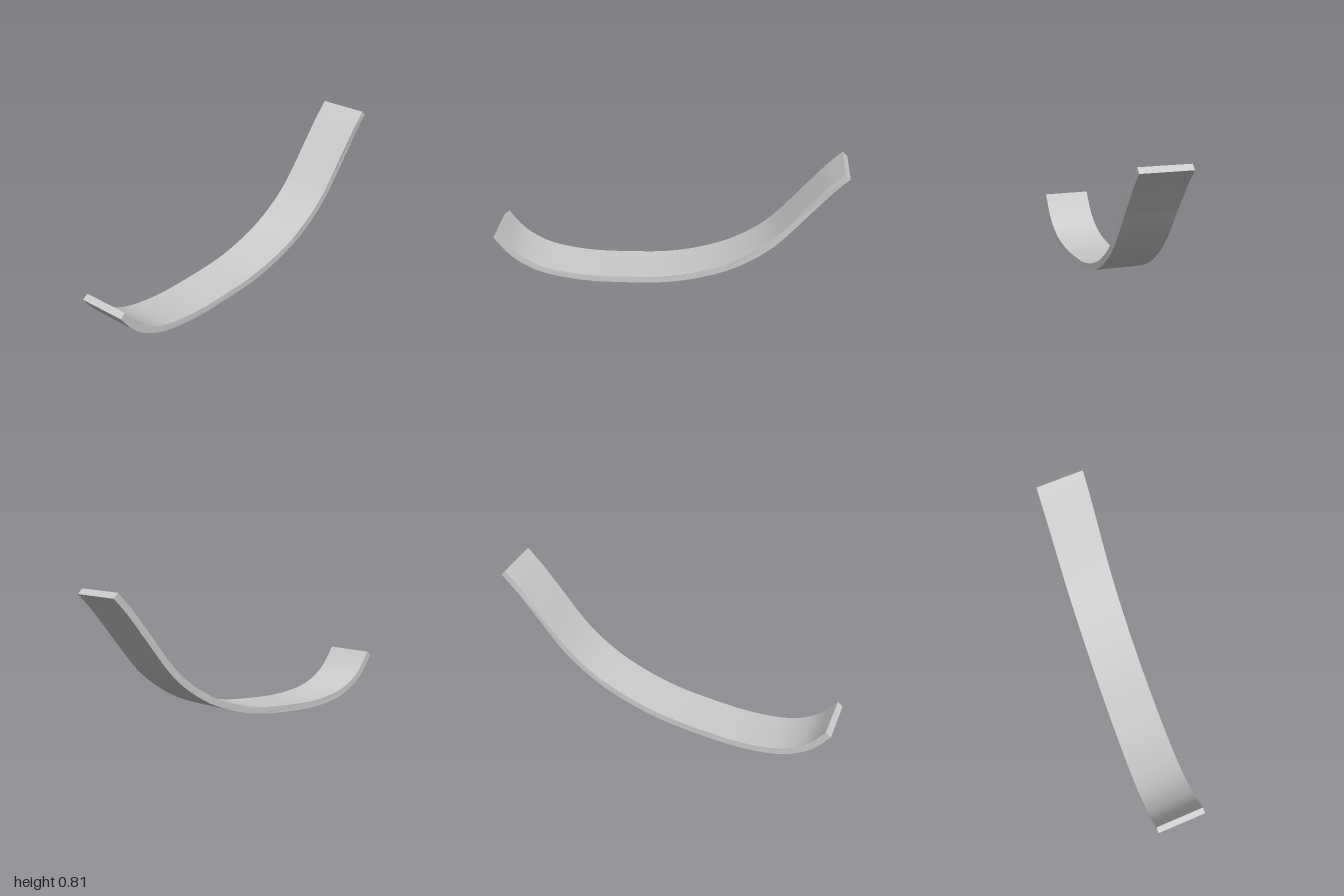
import * as THREE from 'three';
import { toCreasedNormals } from 'three/addons/utils/BufferGeometryUtils.js';

const WIDTH = 0.283;
const HALF_THICKNESS = 0.0195;
const STEPS = 48;

// Centre line of the strip in side view, as (z, y)
const profile = new THREE.SplineCurve([
  [0.985, 0.264], [0.9, 0.157], [0.8, 0.088], [0.7, 0.05], [0.58, 0.03],
  [0.42, 0.022], [0.2, 0.035], [0, 0.058], [-0.2, 0.11], [-0.4, 0.197],
  [-0.6, 0.345], [-0.8, 0.585], [-0.9, 0.708], [-0.985, 0.797],
].map(([z, y]) => new THREE.Vector2(z, y)));

// Sideways drift of the strip, a gentle S from front to back
function drift(z) {
  return -0.049 * (0.6 * Math.sin(z * Math.PI / 2) + 0.4 * z);
}

export function createModel() {
  // Offset the centre line to both sides for a closed side outline
  const upper = [], lower = [];
  for (let i = 0; i <= STEPS; i++) {
    const p = profile.getPointAt(i / STEPS);
    const t = profile.getTangentAt(i / STEPS);
    const n = new THREE.Vector2(t.y, -t.x).multiplyScalar(HALF_THICKNESS);
    upper.push(p.clone().add(n));
    lower.push(p.clone().sub(n));
  }
  const outline = new THREE.Shape([...upper, ...lower.reverse()]);

  // Extrude across x, then shift each section sideways
  let geometry = new THREE.ExtrudeGeometry(outline, { depth: WIDTH, bevelEnabled: false });
  geometry.translate(0, 0, -WIDTH / 2);
  geometry.rotateY(-Math.PI / 2);
  const pos = geometry.attributes.position;
  for (let i = 0; i < pos.count; i++) {
    pos.setX(i, pos.getX(i) + drift(pos.getZ(i)));
  }
  geometry.computeBoundingBox();
  geometry.translate(0, -geometry.boundingBox.min.y, 0);
  geometry = toCreasedNormals(geometry, 0.6);

  const strip = new THREE.Mesh(geometry, new THREE.MeshStandardMaterial({ color: 0xcccccc }));
  strip.name = 'curvedStrip';
  const group = new THREE.Group();
  group.name = 'bentStrap';
  group.add(strip);
  return group;
}
